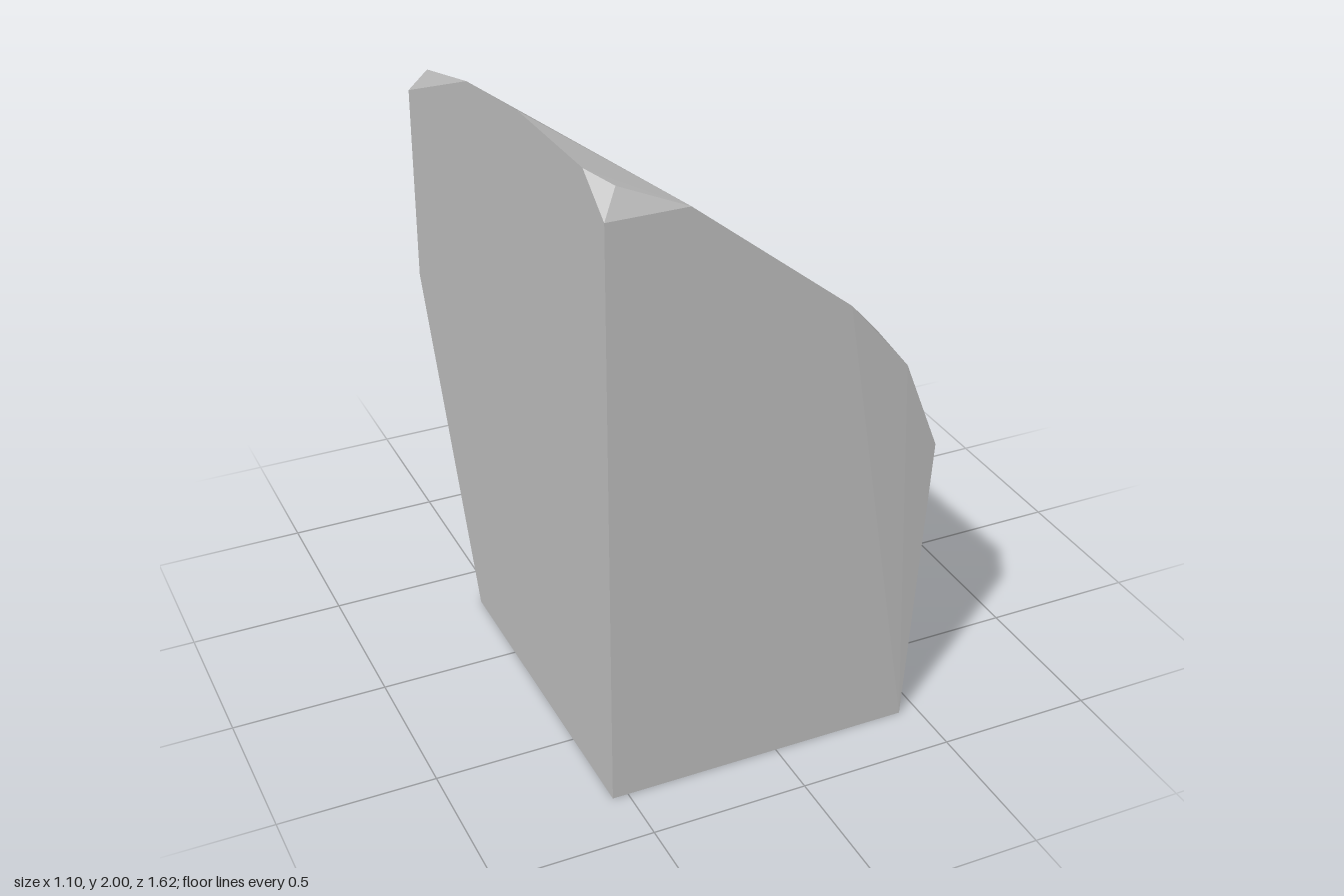
import * as THREE from 'three';
import { ConvexGeometry } from 'three/addons/geometries/ConvexGeometry.js';

export function createModel() {
  const group = new THREE.Group();
  group.name = 'cutStone';
  const stoneGrey = new THREE.MeshStandardMaterial({ color: 0xbcbcbc });
  stoneGrey.name = 'stoneGrey';

  // Corners of the chiselled block, grouped by region
  const base = [[-0.55, 0, 0.81], [0.44, 0, 0.81], [0.26, 0, -0.1], [-0.55, 0, -0.32]];
  const frontRim = [
    [-0.55, 1.9, 0.81], [-0.5, 1.98, 0.77], [-0.3, 1.9, 0.81], [0.2, 1.5, 0.81],
    [0.3, 1.39, 0.78], [0.4, 1.26, 0.8], [0.52, 0.96, 0.79],
  ];
  const leftRim = [
    [-0.55, 2, 0.67], [-0.55, 1.99, 0.2], [-0.55, 1.93, -0.22],
    [-0.5, 1.78, -0.74], [-0.55, 1.7, -0.79], [-0.55, 1.04, -0.79],
  ];
  const backRim = [
    [-0.06, 0.97, -0.805], [0.19, 0.95, -0.805], [0.3, 1.06, -0.81],
    [0.43, 1.02, -0.8], [0.54, 0.96, -0.74], [0.55, 0.86, -0.74],
  ];
  const rightRim = [[0.47, 1.05, -0.57], [0.54, 0.97, -0.57], [0.55, 0.9, -0.5], [0.46, 1.15, 0.45]];

  const corners = [...base, ...frontRim, ...leftRim, ...backRim, ...rightRim];
  const geometry = new ConvexGeometry(corners.map((p) => new THREE.Vector3(...p)));
  const block = new THREE.Mesh(geometry, stoneGrey);
  block.name = 'stoneBlock';
  group.add(block);
  return group;
}
